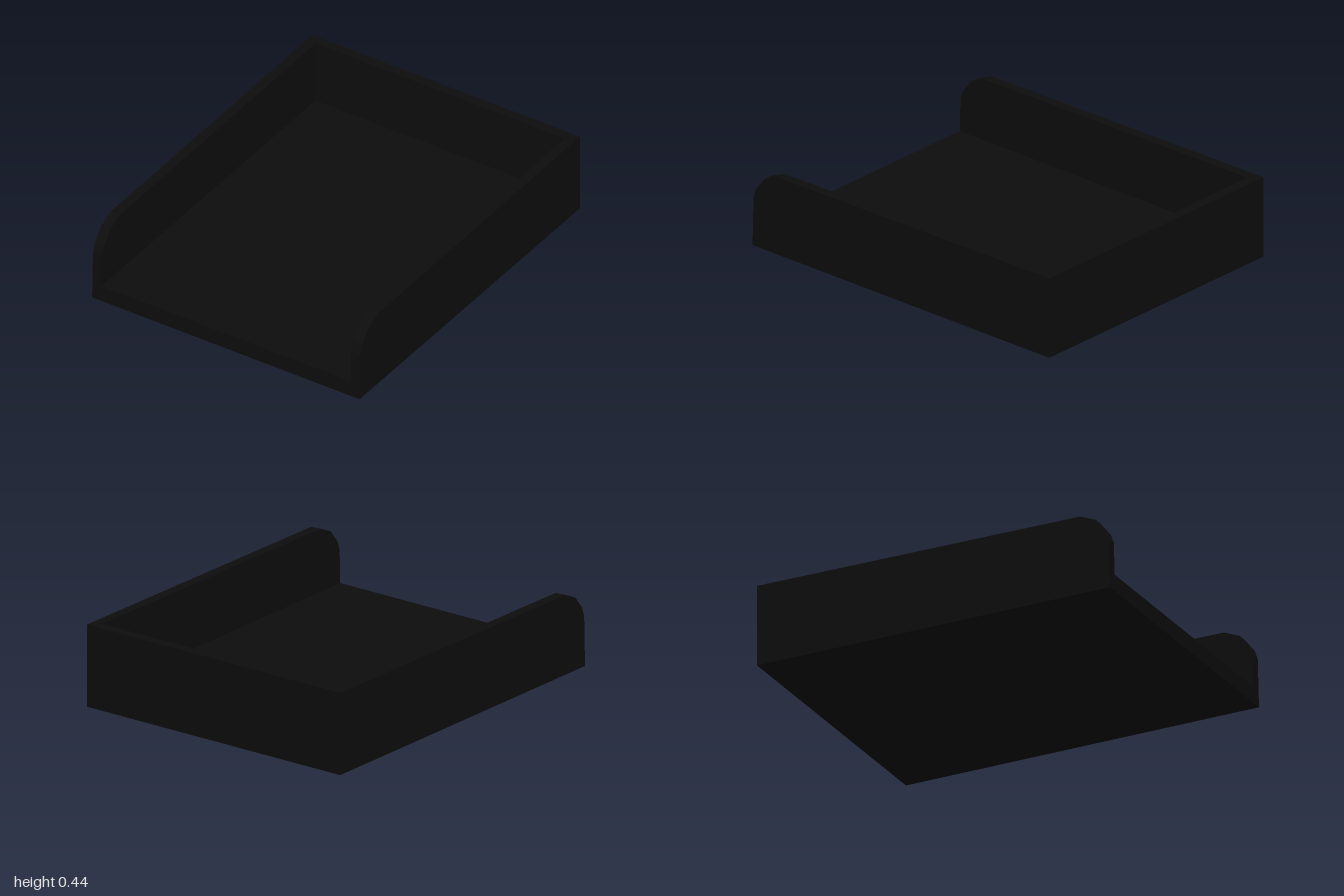
import * as THREE from 'three';

const WIDTH = 1.61, WALL = 0.055, FLOOR = 0.09, HEIGHT = 0.44;

export function createModel() {
  const tray = new THREE.Group();
  tray.name = 'deskTray';
  const black = new THREE.MeshStandardMaterial({ color: 0x0d0d0d });
  black.name = 'black plastic';

  const add = (name, geometry, x, y, z) => {
    const mesh = new THREE.Mesh(geometry, black);
    mesh.name = name;
    mesh.position.set(x, y, z);
    tray.add(mesh);
  };

  // Side wall outline (z, y) with a faceted rounded front corner
  const outline = new THREE.Shape([
    [-1, 0], [1, 0], [0.993, 0.27], [0.975, 0.32],
    [0.92, 0.39], [0.83, 0.428], [-1, HEIGHT],
  ].map(([z, y]) => new THREE.Vector2(z, y)));
  const wall = new THREE.ExtrudeGeometry(outline, { depth: WALL, bevelEnabled: false });
  wall.translate(0, 0, -WALL / 2).rotateY(-Math.PI / 2);
  const wallX = (WIDTH - WALL) / 2;
  add('leftWall', wall, wallX, 0, 0);
  add('rightWall', wall, -wallX, 0, 0);

  // Back wall and floor fit between the sides; the front stays open
  const inner = WIDTH - 2 * WALL;
  add('backWall', new THREE.BoxGeometry(inner, HEIGHT, WALL), 0, HEIGHT / 2, -1 + WALL / 2);
  add('floor', new THREE.BoxGeometry(inner, FLOOR, 2 - WALL), 0, FLOOR / 2, WALL / 2);

  return tray;
}
